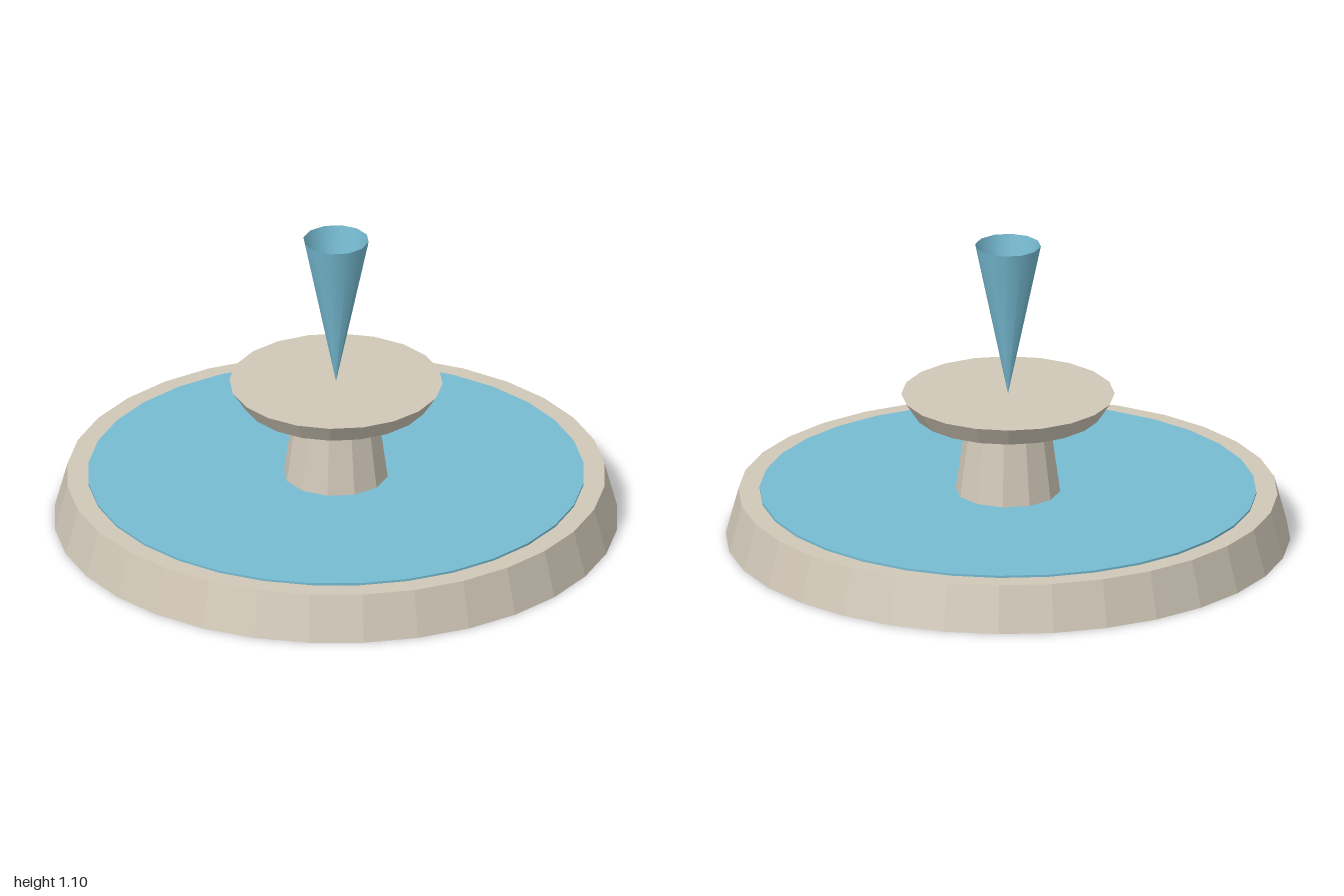
import * as THREE from 'three';

export function createModel() {
  const group = new THREE.Group();
  const stone = new THREE.MeshStandardMaterial({ color: 0xd0c7b7, flatShading: true });
  stone.name = 'stone';
  const water = new THREE.MeshStandardMaterial({ color: 0x76bbd2, side: THREE.DoubleSide });
  water.name = 'water';

  // Round tapered part standing between two heights
  const round = (name, material, rTop, rBottom, y0, y1, sides, open = false) => {
    const geometry = new THREE.CylinderGeometry(rTop, rBottom, y1 - y0, sides, 1, open);
    const mesh = new THREE.Mesh(geometry, material);
    mesh.name = name;
    mesh.position.y = (y0 + y1) / 2;
    group.add(mesh);
  };

  // Basin with its sheet of water
  round('basin', stone, 0.955, 1, 0, 0.168, 32);
  round('poolWater', water, 0.88, 0.88, 0.167, 0.176, 32);

  // Pedestal and upper dish
  round('pedestal', stone, 0.145, 0.187, 0.168, 0.468, 12);
  round('upperDish', stone, 0.378, 0.332, 0.468, 0.538, 20);

  // Open jet of water, widening upwards from a point
  round('waterJet', water, 0.117, 0, 0.538, 1.098, 12, true);

  return group;
}
